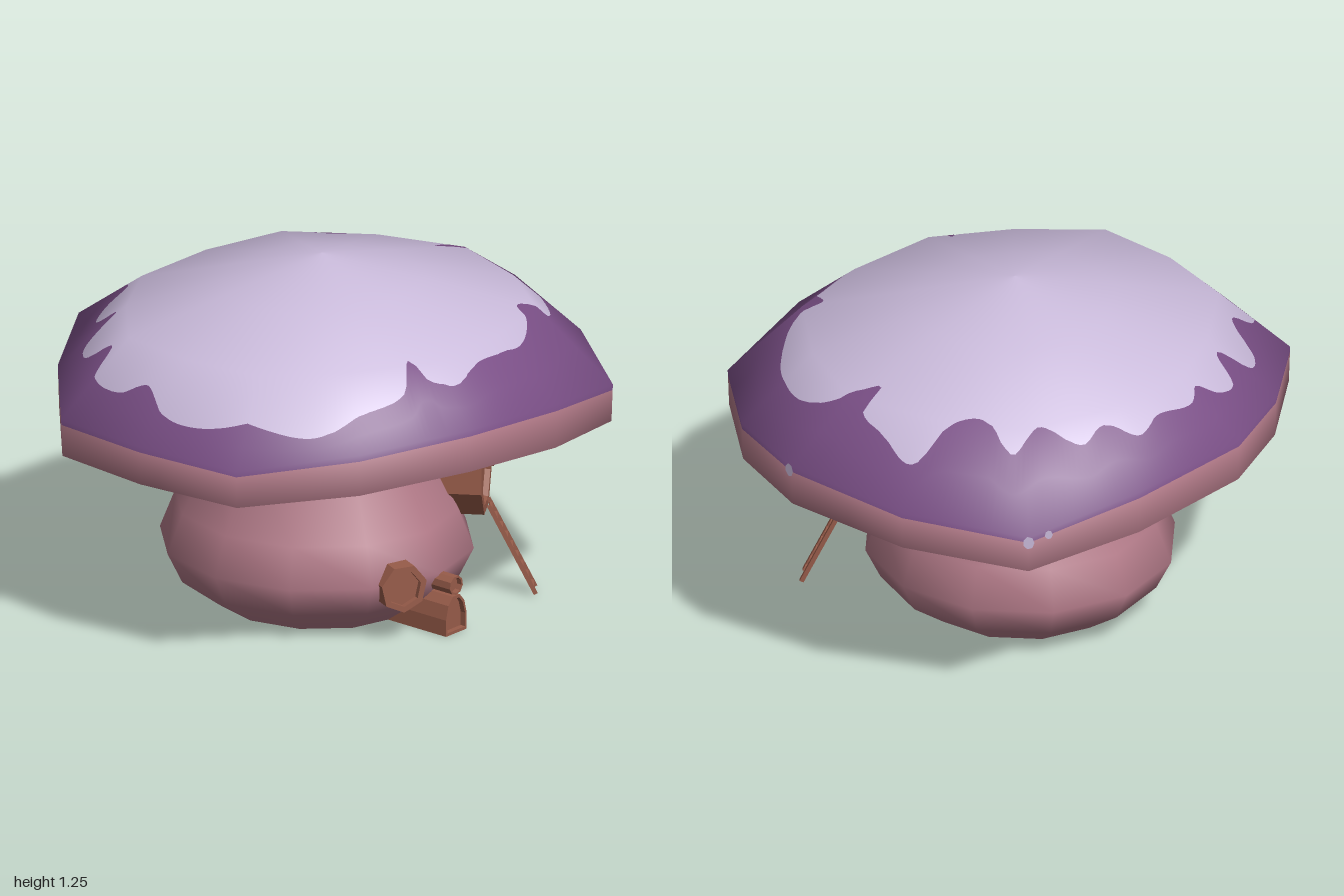
import * as THREE from 'three';

const mat = (name, color, side = THREE.FrontSide) => {
  const m = new THREE.MeshStandardMaterial({ color, side });
  m.name = name;
  return m;
};
const lerp = THREE.MathUtils.lerp;

// Cap rim corners from right (+x) to left: x, z, upper edge y, lower edge y, inner edge y
const RIM = [
  [1.0, 0, 0.88, 0.73, 0.68], [0.86, 0.42, 0.82, 0.68, 0.64], [0.6, 0.79, 0.78, 0.645, 0.61],
  [0.18, 0.895, 0.85, 0.69, 0.655], [-0.28, 0.895, 0.885, 0.73, 0.70], [-0.63, 0.69, 0.84, 0.69, 0.665],
  [-0.95, 0.4, 0.80, 0.665, 0.635], [-1.0, 0, 0.81, 0.67, 0.645],
];
const CORNERS = [...RIM, ...RIM.slice(1, 7).reverse().map(([x, z, ...ys]) => [x, -z, ...ys])];
const APEX_X = -0.03, APEX_Y = 1.255, MID = 0.74, MID_Y = 1.06;

// Scalloped edge of the pale patch, seen from above: x, z pairs
const SCALLOP = [
  0.63, -0.05, 0.75, 0.04, 0.775, 0.2, 0.7, 0.39, 0.58, 0.52, 0.49, 0.57, 0.38, 0.54, 0.34, 0.62, 0.2, 0.7,
  -0.02, 0.71, -0.21, 0.75, -0.27, 0.69, -0.27, 0.6, -0.37, 0.67, -0.53, 0.62, -0.69, 0.55, -0.8, 0.4,
  -0.89, 0.19, -0.9, 0.02, -0.83, -0.11, -0.86, -0.21, -0.82, -0.36, -0.69, -0.39, -0.67, -0.53, -0.6, -0.59,
  -0.47, -0.56, -0.45, -0.67, -0.34, -0.71, -0.26, -0.69, -0.2, -0.74, -0.05, -0.73, 0.06, -0.76, 0.17, -0.69,
  0.27, -0.7, 0.38, -0.6, 0.5, -0.6, 0.51, -0.43, 0.61, -0.37, 0.75, -0.35, 0.75, -0.19, 0.74, -0.08,
];

// Rim values at a fractional corner number
function rimAt(u) {
  const i = Math.floor(u), a = CORNERS[i % 14], b = CORNERS[(i + 1) % 14];
  return a.map((v, k) => lerp(v, b[k], u - i));
}

// Height and normal elevation on the upper surface; q runs from apex (0) to rim (1)
function topAt(q, rimY) {
  if (q < MID) return [lerp(APEX_Y, MID_Y, q / MID), lerp(84, 58, q / MID)];
  const t = (q - MID) / (1 - MID);
  return [lerp(MID_Y, rimY, t), lerp(58, 24, t)];
}

// Cap: one grid of columns, split by rows into three colours
function makeCap(materials) {
  const pts = [];
  for (let i = 0; i < SCALLOP.length; i += 2) pts.push(new THREE.Vector3(SCALLOP[i], 0, SCALLOP[i + 1]));
  const edge = new THREE.CatmullRomCurve3(pts, true).getPoints(1000)
    .map(p => [Math.atan2(p.z, p.x - APEX_X), Math.hypot(p.x - APEX_X, p.z)]);
  const cols = 14 * 20, position = [], normal = [], index = [];
  let rows = 0;
  for (let j = 0; j <= cols; j++) {
    const [x, z, yTop, yLow, yIn] = rimAt(j / 20);
    const dx = x - APEX_X, ang = Math.atan2(z, dx);
    let best = 9, radius = 0;
    for (const [a, r] of edge) {
      const d = Math.abs(Math.atan2(Math.sin(a - ang), Math.cos(a - ang)));
      if (d < best) { best = d; radius = r; }
    }
    const qb = Math.min(radius / Math.hypot(dx, z), 0.97), lo = Math.min(MID, qb), hi = Math.max(MID, qb);
    const column = [0, lo / 2, lo, qb, hi, (hi + 1) / 2, 1].map(q => [q, ...topAt(q, yTop)]);
    column.push([0.999, lerp(yTop, yLow, 0.15), 18]);
    column.push([0.995, yLow, -18], [0.88, yIn, -50], [0.55, 0.7, -85], [0.2, 0.7, -90]);
    rows = column.length;
    for (const [q, y, deg] of column) {
      const e = THREE.MathUtils.degToRad(deg);
      position.push(APEX_X + dx * q, y, z * q);
      normal.push(Math.cos(e) * Math.cos(ang), Math.sin(e), Math.cos(e) * Math.sin(ang));
    }
  }
  const geo = new THREE.BufferGeometry();
  [[0, 3], [3, 7], [7, rows - 1]].forEach(([from, to], m) => {
    const start = index.length;
    for (let j = 0; j < cols; j++) for (let r = from; r < to; r++) {
      const a = j * rows + r, d = a + rows;
      index.push(a, d + 1, a + 1, a, d, d + 1);
    }
    geo.addGroup(start, index.length - start, m);
  });
  geo.setAttribute('position', new THREE.Float32BufferAttribute(position, 3));
  geo.setAttribute('normal', new THREE.Float32BufferAttribute(normal, 3));
  geo.setIndex(index);
  return new THREE.Mesh(geo, materials);
}

// Regular outline for round fittings
const ring = (n, r) => Array.from({ length: n }, (_, i) => {
  const a = (i + 0.5) / n * Math.PI * 2 + Math.PI / 2;
  return [Math.cos(a) * r, Math.sin(a) * r];
});

// Prism running back from z = 0, with a raised frame around its front face
function framedPrism(name, outline, depth, inset, material) {
  const group = new THREE.Group();
  group.name = name;
  const cy = (Math.max(...outline.map(p => p[1])) + Math.min(...outline.map(p => p[1]))) / 2;
  const vec = s => outline.map(([x, y]) => new THREE.Vector2(x * s, cy + (y - cy) * s));
  const frameShape = new THREE.Shape(vec(1));
  frameShape.holes.push(new THREE.Path(vec(inset)));
  const body = new THREE.Mesh(
    new THREE.ExtrudeGeometry(new THREE.Shape(vec(1)), { depth: depth - 0.02, bevelEnabled: false }), material);
  body.position.z = -depth;
  body.name = name + 'Body';
  const frame = new THREE.Mesh(new THREE.ExtrudeGeometry(frameShape, { depth: 0.02, bevelEnabled: false }), material);
  frame.position.z = -0.02;
  frame.name = name + 'Frame';
  group.add(body, frame);
  return group;
}

// Straight square bar between two points
function bar(name, a, b, size, material) {
  const mesh = new THREE.Mesh(new THREE.BoxGeometry(size, size, a.distanceTo(b)), material);
  mesh.position.copy(a).lerp(b, 0.5);
  mesh.lookAt(b);
  mesh.name = name;
  return mesh;
}

export function createModel() {
  const model = new THREE.Group();
  model.name = 'mushroomHouse';
  const lilac = mat('paleLilac', 0xcabbdb), purple = mat('purple', 0x7a4f86);
  const pink = mat('dustyPink', 0xb27a88, THREE.DoubleSide), brown = mat('woodBrown', 0x985c4a);

  const cap = makeCap([lilac, purple, pink]);
  cap.name = 'cap';
  model.add(cap);

  // Small pale flecks on the side of the rim
  for (const [u, r] of [[0.03, 0.02], [2, 0.015], [12, 0.02], [11.82, 0.014]]) {
    const [x, z, yTop] = rimAt(u), a = Math.atan2(z, x - APEX_X);
    const n = new THREE.Vector3(Math.cos(a), 0, Math.sin(a));
    const fleck = new THREE.Mesh(new THREE.CircleGeometry(r, 7), lilac);
    fleck.position.set(x, yTop - 0.018, z).addScaledVector(n, 0.004);
    fleck.lookAt(fleck.position.clone().add(n));
    fleck.scale.y = 1.25;
    fleck.name = 'fleck';
    model.add(fleck);
  }

  // Hollow stalk, open underneath
  const profile = [[0.365, 0], [0.505, 0.1], [0.56, 0.21], [0.505, 0.35], [0.38, 0.6], [0.36, 0.72]];
  const stalk = new THREE.Mesh(new THREE.LatheGeometry(profile.map(p => new THREE.Vector2(...p)), 12), pink);
  stalk.position.x = -0.055;
  stalk.scale.x = 0.965;
  stalk.name = 'stalk';
  model.add(stalk);

  // Hanging side room with a gabled roof
  const room = framedPrism('sideRoom', [[-0.06, 0.31], [0.06, 0.31], [0.135, 0.41], [0.13, 0.53], [0, 0.588],
    [-0.13, 0.53], [-0.135, 0.41]], 0.34, 0.78, brown);
  for (const side of [-1, 1]) {
    const roof = new THREE.Mesh(new THREE.BoxGeometry(0.16, 0.014, 0.07), brown);
    roof.position.set(side * 0.074, 0.562, 0.01);
    roof.rotation.z = -side * 0.41;
    roof.name = 'roofPlank';
    room.add(roof);
  }
  room.position.set(0.335, 0, 0.44);
  room.rotation.y = 0.58;
  model.add(room);

  // Ladder leaning on the side room
  const ladder = new THREE.Group();
  ladder.name = 'ladder';
  const top = new THREE.Vector3(0.33, 0.34, 0.455), base = new THREE.Vector3(0.455, 0.007, 0.56);
  const across = new THREE.Vector3(0.75, 0, -0.66).multiplyScalar(0.038);
  for (const s of [-1, 1]) ladder.add(bar('ladderRail', top.clone().addScaledVector(across, s),
    base.clone().addScaledVector(across, s), 0.015, brown));
  for (let i = 0; i < 9; i++) {
    const p = base.clone().lerp(top, (i + 0.6) / 9);
    ladder.add(bar('ladderRung', p.clone().sub(across), p.clone().add(across), 0.011, brown));
  }
  model.add(ladder);

  // Arched entrance tunnel with a round lamp above it
  const arch = [[-0.055, 0], [0.055, 0], [0.055, 0.06], [0.042, 0.11], [0.018, 0.138], [-0.018, 0.138],
    [-0.042, 0.11], [-0.055, 0.06]];
  const door = framedPrism('entrance', arch, 0.42, 0.84, brown);
  door.position.set(-0.035, 0, 0.62);
  const lamp = framedPrism('roundLamp', ring(9, 0.035), 0.14, 0.8, brown);
  lamp.position.set(-0.035, 0.175, 0.62);
  const porthole = framedPrism('roundWindow', ring(7, 0.088), 0.12, 0.74, brown);
  porthole.position.set(-0.23, 0.2, 0.55);
  porthole.rotation.y = -0.42;
  model.add(door, lamp, porthole);

  return model;
}
